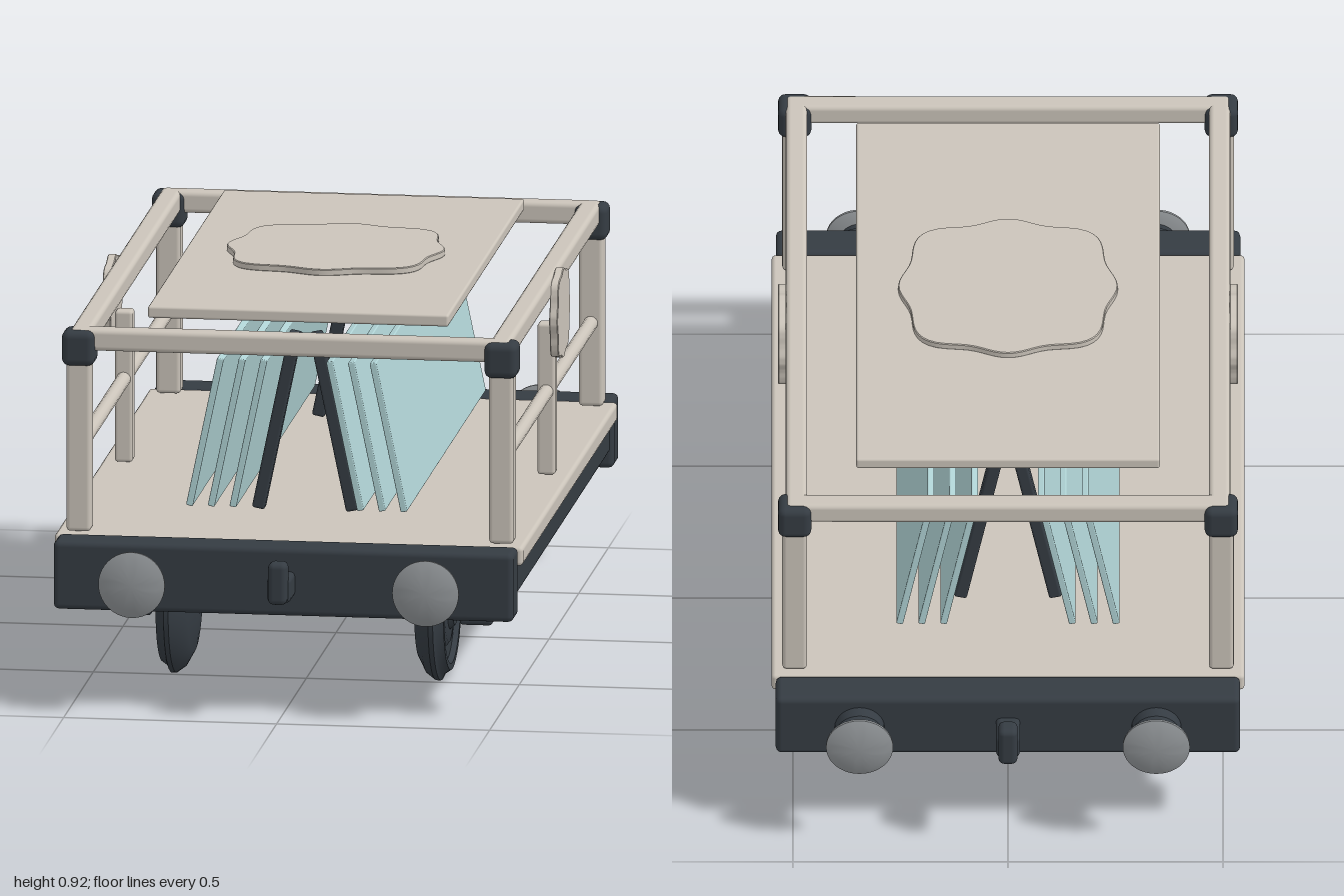
import * as THREE from 'three';
import { RoundedBoxGeometry } from 'three/addons/geometries/RoundedBoxGeometry.js';
import { toCreasedNormals } from 'three/addons/utils/BufferGeometryUtils.js';

const mat = (name, color) => {
  const m = new THREE.MeshStandardMaterial({ color });
  m.name = name;
  return m;
};

export function createModel() {
  const cream = mat('cream', 0xcbc4ba);
  const dark = mat('darkSlate', 0x353c43);
  const glass = mat('paleGlass', 0xb0d3d5);
  const steel = mat('steelGrey', 0x909497);

  const root = new THREE.Group();
  root.name = 'flatWagon';

  const add = (name, geometry, material, x = 0, y = 0, z = 0, parent = root) => {
    const mesh = new THREE.Mesh(geometry, material);
    mesh.name = name;
    mesh.position.set(x, y, z);
    parent.add(mesh);
    return mesh;
  };
  const box = (name, material, w, h, d, x, y, z, r = 0.008) =>
    add(name, new RoundedBoxGeometry(w, h, d, 2, r), material, x, y, z);
  const lathe = (pts, segments = 40) => toCreasedNormals(
    new THREE.LatheGeometry(pts.map(([r, h]) => new THREE.Vector2(r, h)), segments), 0.6);

  // Scalloped plaque outline: eight soft lobes, a little square
  const plaqueGeometry = (size, depth) => {
    const pts = [];
    for (let i = 0; i < 96; i++) {
      const a = (i / 96) * Math.PI * 2;
      const r = size * (1.01 + 0.045 * Math.cos(8 * a) - 0.05 * Math.cos(4 * a));
      pts.push(new THREE.Vector2(r * Math.cos(a), r * Math.sin(a)));
    }
    const g = new THREE.ExtrudeGeometry(new THREE.Shape(pts), {
      depth: depth - 0.004, bevelEnabled: true, bevelThickness: 0.002,
      bevelSize: 0.002, bevelOffset: -0.002, bevelSegments: 1,
    });
    return toCreasedNormals(g.translate(0, 0, 0.002), 0.5);
  };

  // Deck
  box('deck', cream, 1.1, 0.045, 1.6, 0, 0.37, 0, 0.01);

  const wheelGeometry = lathe([
    [0, 0.257], [0.05, 0.258], [0.13, 0.266], [0.165, 0.285], [0.18, 0.305],
    [0.18, 0.316], [0.166, 0.322], [0.155, 0.338], [0.14, 0.338], [0.135, 0.325],
    [0.1, 0.325], [0.09, 0.332], [0.06, 0.334], [0.05, 0.345], [0, 0.345],
  ], 48);
  const bufferHead = lathe([[0, 0], [0.06, 0], [0.078, 0.008], [0.078, 0.014], [0.06, 0.022], [0.03, 0.028], [0, 0.03]]);
  const bufferShaft = lathe([[0, 0], [0.058, 0], [0.058, 0.04], [0.05, 0.05], [0.045, 0.075], [0, 0.075]], 32);

  for (const s of [1, -1]) {
    // Side sill
    box('sideSill', dark, 0.05, 0.08, 1.62, s * 0.505, 0.31, 0);

    // End beam with coupling hook
    box('endBeam', dark, 1.08, 0.163, 0.094, 0, 0.314, s * 0.846, 0.014);
    box('couplingBase', dark, 0.056, 0.06, 0.09, 0, 0.31, s * 0.925, 0.012);
    box('couplingHook', dark, 0.045, 0.1, 0.05, 0, 0.33, s * 0.973, 0.014);

    // Axle running between the wheels
    add('axle', new THREE.CylinderGeometry(0.027, 0.027, 0.54, 24), dark, 0, 0.183, s * 0.46).rotation.z = Math.PI / 2;

    for (const t of [1, -1]) {
      // Sprung buffer
      add('bufferShaft', bufferShaft, dark, t * 0.345, 0.313, s * 0.885).rotation.x = s * Math.PI / 2;
      add('bufferHead', bufferHead, steel, t * 0.345, 0.313, s * 0.955).rotation.x = s * Math.PI / 2;

      // Wheel, axle box and leaf spring
      add('wheel', wheelGeometry, dark, 0, 0.18, s * 0.46).rotation.z = -t * Math.PI / 2;
      box('axleBox', dark, 0.078, 0.105, 0.115, t * 0.4, 0.193, s * 0.46, 0.01);
      for (let i = 0; i < 5; i++) {
        box('springLeaf', dark, 0.07, 0.018, 0.14 + i * 0.055, t * 0.4, 0.254 + i * 0.02, s * 0.46, 0.004);
      }

      // Corner post and connector
      box('cornerPost', cream, 0.058, 0.42, 0.054, t * 0.496, 0.605, s * 0.755, 0.01);
      box('cornerConnector', dark, 0.078, 0.084, 0.078, t * 0.496, 0.832, s * 0.758, 0.018);
    }

    // Top rails and side middle rail
    box('sideTopRail', cream, 0.05, 0.052, 1.56, s * 0.492, 0.851, 0, 0.012);
    box('endTopRail', cream, 1.03, 0.052, 0.05, 0, 0.851, s * 0.756, 0.012);
    add('middleRail', new THREE.CylinderGeometry(0.017, 0.017, 1.48, 16), cream, s * 0.496, 0.593, 0).rotation.x = Math.PI / 2;

    // Side plaque on its post
    box('plaquePost', cream, 0.042, 0.36, 0.044, s * 0.496, 0.575, 0, 0.008);
    add('sidePlaque', plaqueGeometry(0.106, 0.02), cream, s * 0.515, 0.778, 0).rotation.y = s * Math.PI / 2;

    // Leaning rack struts
    for (const z of [0.505, -0.505]) {
      box('rackStrut', dark, 0.03, 0.43, 0.036, s * 0.067, 0.616, z, 0.006).rotation.z = s * 0.205;
    }

    // Leaning glass sheets
    for (let i = 0; i < 3; i++) {
      box('glassSheet', glass, 0.016, 0.36, 1.328, s * (0.1135 + i * 0.051), 0.615, 0, 0.003).rotation.z = s * 0.205;
    }
  }

  // Table board with round plaque
  box('topBoard', cream, 0.706, 0.028, 1.28, 0, 0.891, 0, 0.006);
  add('topPlaque', plaqueGeometry(0.254, 0.016), cream, 0, 0.904, 0).rotation.x = -Math.PI / 2;

  return root;
}
